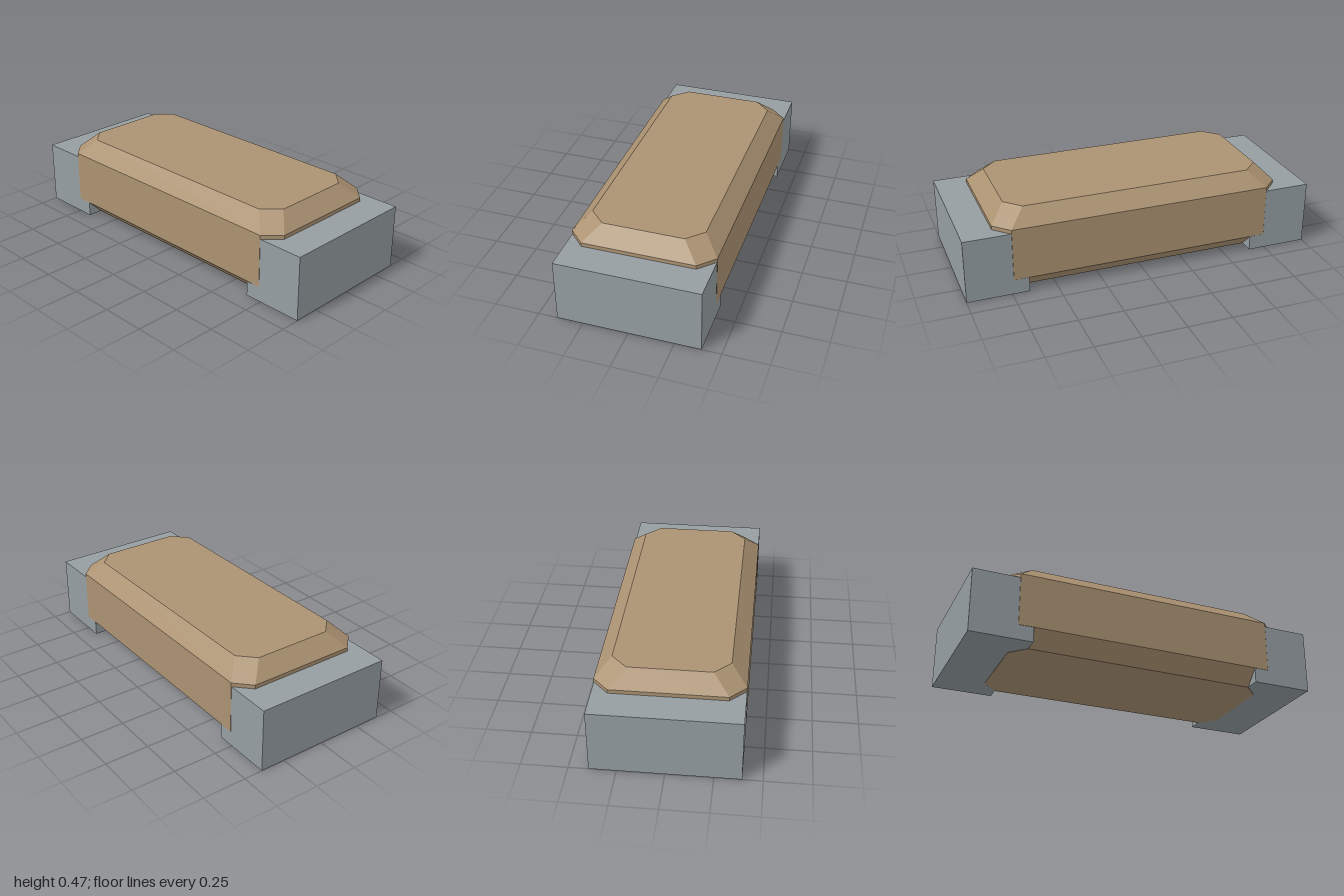
import * as THREE from 'three';

// Eight-cornered outline at height y: a rectangle with its corners cut by c
function octagon(hx, hz, c, y) {
  return [
    [hx, hz - c], [hx - c, hz], [c - hx, hz], [-hx, hz - c],
    [-hx, c - hz], [c - hx, -hz], [hx - c, -hz], [hx, c - hz],
  ].map(([x, z]) => new THREE.Vector3(x, y, z));
}

// Flat-faced solid through a stack of outlines, bottom to top, capped at both ends
function loftGeometry(loops) {
  const points = [];
  const n = loops[0].length;
  for (let k = 0; k < loops.length - 1; k++) {
    const low = loops[k], high = loops[k + 1];
    for (let i = 0; i < n; i++) {
      const j = (i + 1) % n;
      points.push(low[i], high[i], high[j], low[i], high[j], low[j]);
    }
  }
  const bottom = loops[0], top = loops[loops.length - 1];
  for (let i = 1; i < n - 1; i++) {
    points.push(bottom[0], bottom[i], bottom[i + 1]);
    points.push(top[0], top[i + 1], top[i]);
  }
  const geometry = new THREE.BufferGeometry().setFromPoints(points);
  geometry.computeVertexNormals();
  return geometry;
}

export function createModel() {
  const ceramic = new THREE.MeshStandardMaterial({ name: 'tan ceramic', color: 0xab9272 });
  const metal = new THREE.MeshStandardMaterial({ name: 'grey metal', color: 0x959ea2 });
  const group = new THREE.Group();
  group.name = 'chipComponent';

  // Body: block with every edge bevelled
  const hx = 0.825, hz = 0.395, height = 0.47, bevel = 0.086;
  const body = new THREE.Mesh(loftGeometry([
    octagon(hx - bevel, hz - bevel, bevel, 0),
    octagon(hx, hz, bevel, bevel),
    octagon(hx, hz, bevel, height - bevel),
    octagon(hx - bevel, hz - bevel, bevel, height),
  ]), ceramic);
  body.name = 'body';
  group.add(body);

  // End terminals, a hair inside the body's faces so the two never flicker
  const inner = 0.655, topY = 0.362, gap = 0.001;
  for (const side of [1, -1]) {
    const terminal = new THREE.Mesh(
      new THREE.BoxGeometry(1 - inner, topY - gap, 2 * (hz - gap)), metal);
    terminal.position.set(side * (1 + inner) / 2, (topY + gap) / 2, 0);
    terminal.name = side > 0 ? 'leftTerminal' : 'rightTerminal';
    group.add(terminal);
  }
  return group;
}
